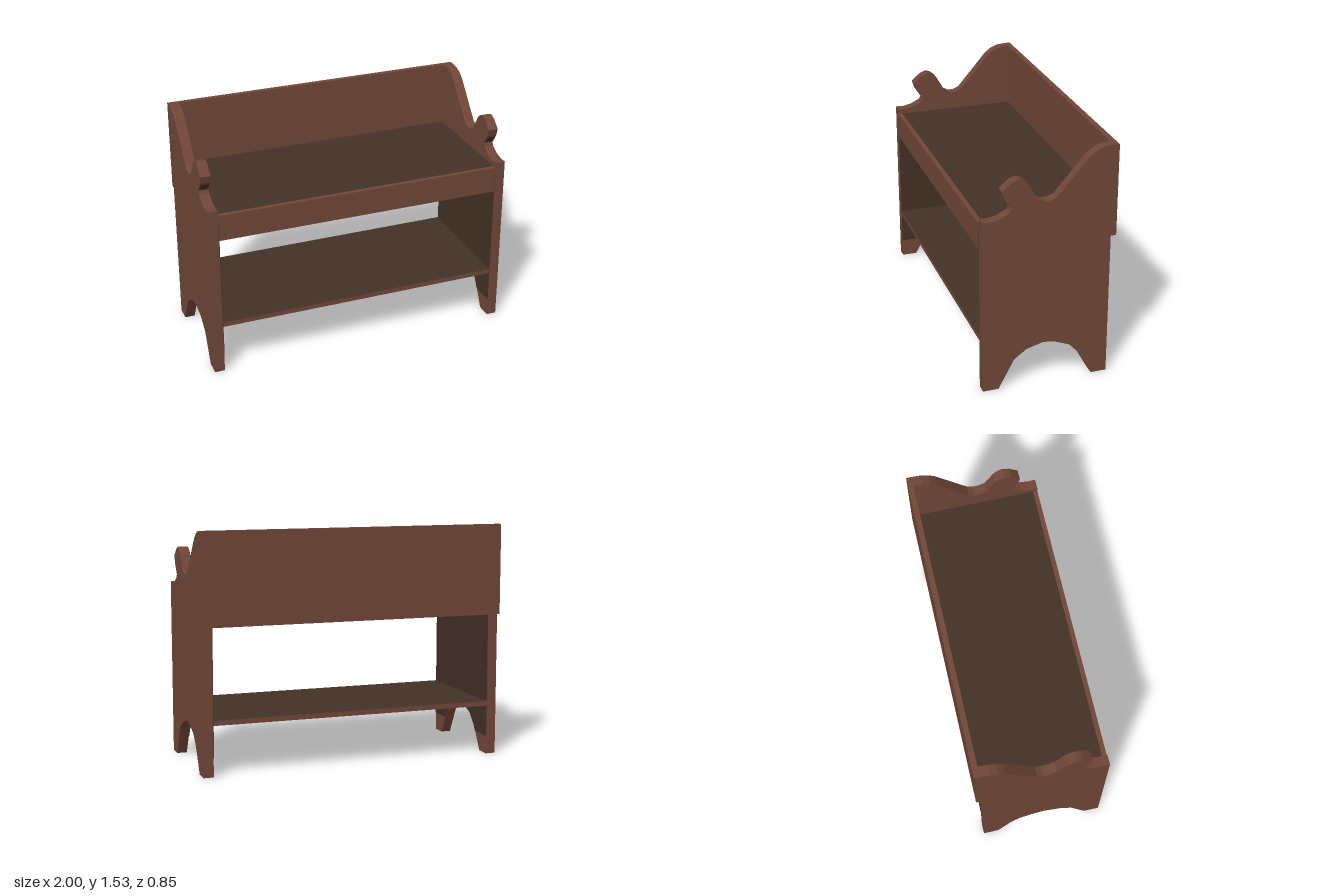
import * as THREE from 'three';

const red = new THREE.MeshStandardMaterial({ color: 0x704638 });
red.name = 'reddish wood';
const dark = new THREE.MeshStandardMaterial({ color: 0x423126 });
dark.name = 'dark wood';

// Outlines as [z, y] points
const arch = [[0.22, 0.19], [0.14, 0.25], [0.03, 0.28], [-0.04, 0.27], [-0.14, 0.23], [-0.2, 0.165]];
const crest = [
  [-0.39, 1.53], [-0.33, 1.525], [-0.28, 1.505], [-0.24, 1.475], [-0.04, 1.245], [0, 1.228], [0.04, 1.228], [0.08, 1.25],
  [0.14, 1.355], [0.17, 1.38], [0.2, 1.39], [0.24, 1.375], [0.3, 1.325], [0.285, 1.275], [0.24, 1.21], [0.25, 1.185],
  [0.31, 1.155], [0.37, 1.142], [0.42, 1.145],
];
const endOutline = [[0.42, 0], [0.32, 0], ...arch, [-0.29, 0], [-0.39, 0], ...crest];
const linerOutline = [[0.42, 0.12], [0.26, 0.12], ...arch, [-0.225, 0.12], [-0.39, 0.12], [-0.39, 1.08], [0.42, 1.08]];

// Board cut from an outline, lying between x0 and x1
function board(name, outline, x0, x1, material) {
  const shape = new THREE.Shape(outline.map(([z, y]) => new THREE.Vector2(-z, y)));
  const geometry = new THREE.ExtrudeGeometry(shape, { depth: x1 - x0, bevelEnabled: false });
  geometry.rotateY(Math.PI / 2).translate(x0, 0, 0);
  const mesh = new THREE.Mesh(geometry, material);
  mesh.name = name;
  return mesh;
}

// Plank given by its limits on each axis
function plank(name, [x0, x1], [y0, y1], [z0, z1], material) {
  const mesh = new THREE.Mesh(new THREE.BoxGeometry(x1 - x0, y1 - y0, z1 - z0), material);
  mesh.position.set((x0 + x1) / 2, (y0 + y1) / 2, (z0 + z1) / 2);
  mesh.name = name;
  return mesh;
}

export function createModel() {
  const group = new THREE.Group();
  group.name = 'bucketBench';

  // Scrolled ends with a dark inner face below the top shelf
  for (const [side, s] of [['left', 1], ['right', -1]]) {
    group.add(board(side + 'End', endOutline, s > 0 ? 0.935 : -1, s > 0 ? 1 : -0.935, red));
    group.add(board(side + 'InnerFace', linerOutline, s > 0 ? 0.932 : -0.935, s > 0 ? 0.935 : -0.932, dark));

    // Dark stain in the notch of the scroll
    const stain = new THREE.Mesh(new THREE.CylinderGeometry(0.028, 0.028, 0.004, 12), dark);
    stain.name = side + 'NotchStain';
    stain.position.set(s * 0.967, 1.243, 0.263);
    stain.rotation.x = Math.PI / 2 + Math.atan2(0.045, 0.065);
    group.add(stain);
  }

  // Back board overlapping the ends
  group.add(plank('backBoard', [-1, 1], [0.94, 1.53], [-0.425, -0.39], red));

  // Shelves: material order is +x, -x, top, bottom, front, back
  group.add(plank('topShelf', [-0.935, 0.935], [1.075, 1.11], [-0.39, 0.39], [red, red, dark, dark, red, red]));
  group.add(plank('lowerShelf', [-0.935, 0.935], [0.325, 0.357], [-0.39, 0.42], [red, red, dark, red, red, red]));

  // Apron under the front of the top shelf
  group.add(plank('frontApron', [-0.935, 0.935], [0.94, 1.11], [0.39, 0.42], red));
  return group;
}
